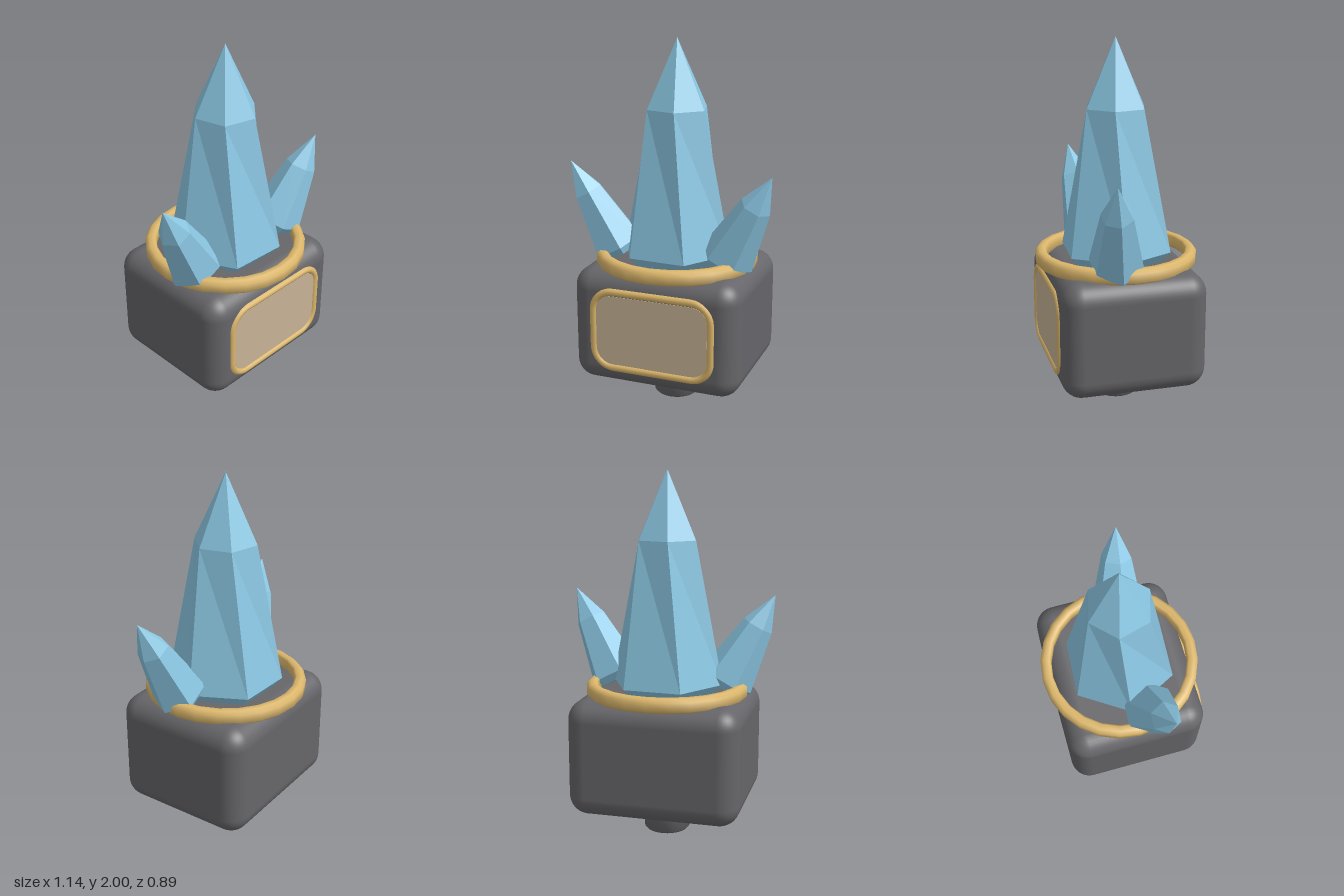
import * as THREE from 'three';
import { RoundedBoxGeometry } from 'three/addons/geometries/RoundedBoxGeometry.js';
import { toCreasedNormals } from 'three/addons/utils/BufferGeometryUtils.js';

const stone = new THREE.MeshStandardMaterial({ color: 0x66666a });
const gold = new THREE.MeshStandardMaterial({ color: 0xdcb76c });
const tan = new THREE.MeshStandardMaterial({ color: 0xc8b496 });
const crystalMat = new THREE.MeshStandardMaterial({ color: 0x8cc8e4, flatShading: true });

function add(parent, name, geometry, material) {
  const mesh = new THREE.Mesh(geometry, material);
  mesh.name = name;
  parent.add(mesh);
  return mesh;
}

const lathe = (profile, sides, phi = 0) =>
  new THREE.LatheGeometry(profile.map(([r, y]) => new THREE.Vector2(r, y)), sides, phi);

// Six-sided crystal with its widest ring at y = 0; the shoulder may be twisted
function crystalGeometry(radius, shoulderRadius, shoulderY, height, foot, phi, twist) {
  const geo = lathe([[0, -foot], [radius * 0.8, -foot], [radius, 0], [shoulderRadius, shoulderY], [0, height]], 6, phi);
  const pos = geo.attributes.position;
  const v = new THREE.Vector3();
  const up = new THREE.Vector3(0, 1, 0);
  for (let i = 0; i < pos.count; i++) {
    v.fromBufferAttribute(pos, i);
    if (Math.abs(v.y - shoulderY) < 1e-4) v.applyAxisAngle(up, twist);
    pos.setXYZ(i, v.x, v.y, v.z);
  }
  return geo;
}

// Rounded rectangle centred on the origin
function roundedRect(w, h, r) {
  const s = new THREE.Shape();
  s.moveTo(-w + r, -h);
  s.lineTo(w - r, -h);
  s.absarc(w - r, -h + r, r, -Math.PI / 2, 0);
  s.lineTo(w, h - r);
  s.absarc(w - r, h - r, r, 0, Math.PI / 2);
  s.lineTo(-w + r, h);
  s.absarc(-w + r, h - r, r, Math.PI / 2, Math.PI);
  s.lineTo(-w, -h + r);
  s.absarc(-w + r, -h + r, r, Math.PI, Math.PI * 1.5);
  return s;
}

export function createModel() {
  const group = new THREE.Group();

  // Stone block and the flared stub below it
  add(group, 'body', new RoundedBoxGeometry(0.94, 0.64, 0.79, 5, 0.11), stone).position.set(0, 0.475, -0.003);
  const stub = lathe([[0, 0], [0.115, 0], [0.127, 0.012], [0.13, 0.1], [0.138, 0.135], [0.16, 0.155], [0.16, 0.18]], 24);
  add(group, 'stub', toCreasedNormals(stub, 0.9), stone);

  // Collar ring with softened edges
  const collar = lathe([[0.385, 0.79], [0.395, 0.78], [0.435, 0.78], [0.445, 0.79], [0.445, 0.838],
    [0.425, 0.857], [0.395, 0.857], [0.385, 0.848], [0.385, 0.79]], 24);
  add(group, 'collar', toCreasedNormals(collar, 0.9), gold);

  // Front window: panel and rounded frame
  const panel = new THREE.ExtrudeGeometry(roundedRect(0.315, 0.195, 0.09), { depth: 0.02, bevelEnabled: false, curveSegments: 8 });
  add(group, 'windowPanel', panel, tan).position.set(0, 0.477, 0.375);
  const outline = roundedRect(0.333, 0.216, 0.11).getSpacedPoints(64).map((p) => new THREE.Vector3(p.x, p.y, 0));
  if (outline[0].distanceTo(outline[outline.length - 1]) < 0.01) outline.pop();
  const path = new THREE.CatmullRomCurve3(outline, true);
  add(group, 'windowFrame', new THREE.TubeGeometry(path, 96, 0.022, 10, true), gold).position.set(0, 0.477, 0.383);

  // Tall central crystal
  const deg = Math.PI / 180;
  const main = crystalGeometry(0.315, 0.175, 0.78, 1.15, 0.07, 27 * deg, -12 * deg);
  add(group, 'mainCrystal', main, crystalMat).position.y = 0.85;

  // Smaller crystals leaning out on both sides
  for (const side of [1, -1]) {
    const base = new THREE.Vector3(0.32 * side, 0.86, 0.08);
    const axis = new THREE.Vector3(0.57 * side, 1.33, 0.14).sub(base);
    const length = axis.length();
    const geo = crystalGeometry(0.15, 0.086, length * 0.64, length, 0.04, 30 * deg, 0);
    const mesh = add(group, side > 0 ? 'leftCrystal' : 'rightCrystal', geo, crystalMat);
    mesh.position.copy(base);
    mesh.quaternion.setFromUnitVectors(new THREE.Vector3(0, 1, 0), axis.normalize());
  }
  return group;
}
